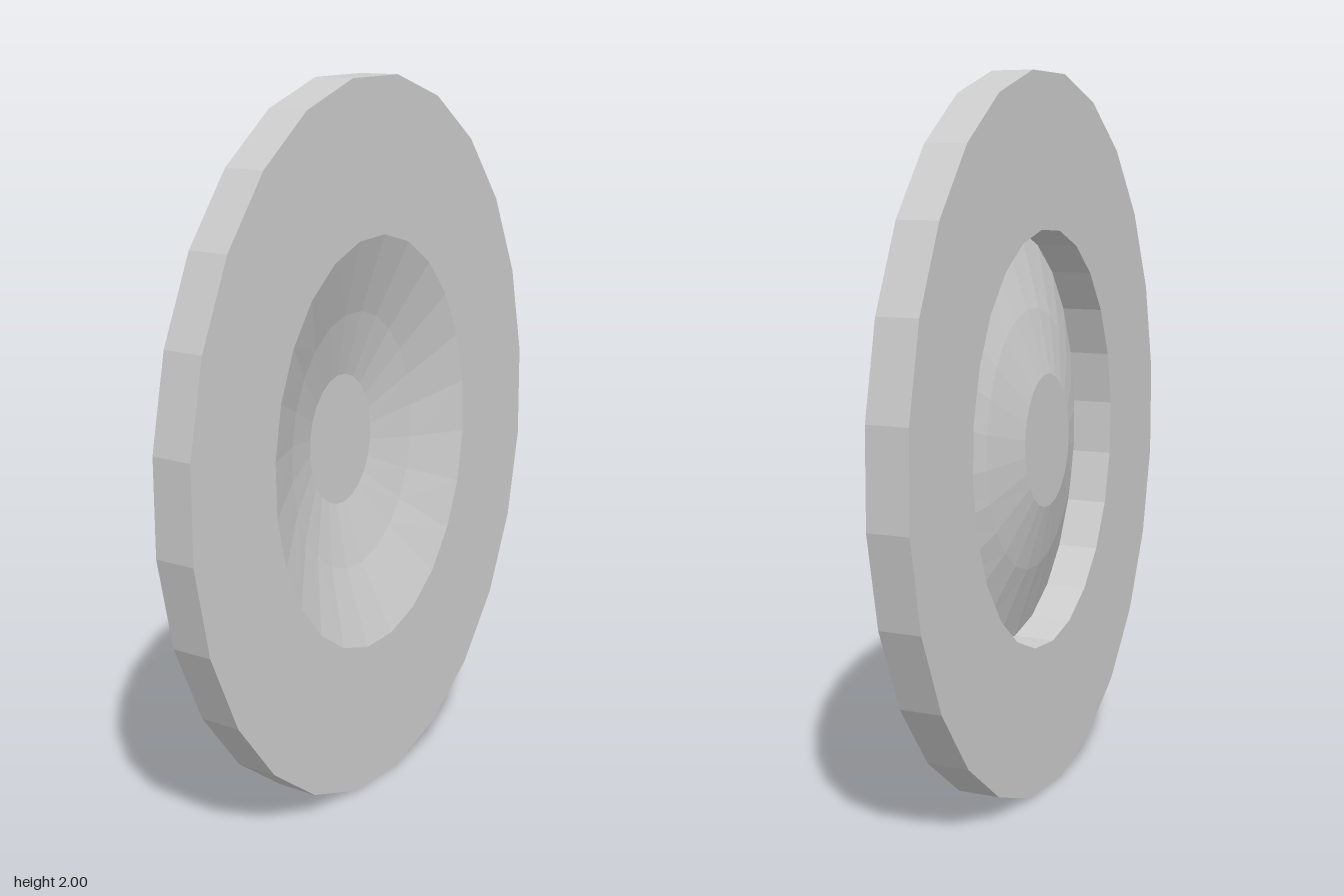
import * as THREE from 'three';

const SIDES = 24;
const HALF = 0.06; // half the thickness of the ring

// Point on an oval around the centre, clockwise from the top
function ovalPoint(rx, ry, i, offsetDeg) {
  const t = ((i % SIDES) / SIDES) * Math.PI * 2 + THREE.MathUtils.degToRad(offsetDeg);
  return [rx * Math.sin(t), 1 + ry * Math.cos(t)];
}

function ovalPoints(rx, ry, offsetDeg) {
  return Array.from({ length: SIDES }, (_, i) => new THREE.Vector2(...ovalPoint(rx, ry, i, offsetDeg)));
}

// Flat-shaded surface joining a series of ovals, outermost first
function loftOvals(ovals) {
  const positions = [];
  const corner = (o, i) => [...ovalPoint(o.rx, o.ry, i, o.turn), o.z];
  for (let k = 0; k < ovals.length - 1; k++) {
    const outer = ovals[k], inner = ovals[k + 1];
    for (let i = 0; i < SIDES; i++) {
      positions.push(...corner(outer, i + 1), ...corner(outer, i), ...corner(inner, i + 1));
      if (inner.rx > 0) {
        positions.push(...corner(outer, i), ...corner(inner, i), ...corner(inner, i + 1));
      }
    }
  }
  const geometry = new THREE.BufferGeometry();
  geometry.setAttribute('position', new THREE.Float32BufferAttribute(positions, 3));
  geometry.computeVertexNormals();
  return geometry;
}

export function createModel() {
  const group = new THREE.Group();
  group.name = 'ovalDish';

  // Thick oval ring; the opening runs the other way round so its wall faces inward
  const outline = new THREE.Shape(ovalPoints(0.79, 1.0075, 7));
  outline.holes.push(new THREE.Path(ovalPoints(0.455, 0.582, 5).reverse()));
  const ringGeometry = new THREE.ExtrudeGeometry(outline, { depth: 2 * HALF, bevelEnabled: false });
  ringGeometry.translate(0, 0, -HALF);
  const ring = new THREE.Mesh(
    ringGeometry,
    new THREE.MeshStandardMaterial({ color: 0xcccccc, flatShading: true })
  );
  ring.name = 'outerRing';
  group.add(ring);

  // Thin sunken dish, from the front edge of the opening down to a flat centre
  const dish = new THREE.Mesh(
    loftOvals([
      { rx: 0.455, ry: 0.582, z: HALF, turn: 5 },
      { rx: 0.286, ry: 0.366, z: -0.015, turn: 7 },
      { rx: 0.145, ry: 0.186, z: -HALF, turn: 9 },
      { rx: 0, ry: 0, z: -HALF, turn: 9 },
    ]),
    new THREE.MeshStandardMaterial({ color: 0xcccccc, flatShading: true, side: THREE.DoubleSide })
  );
  dish.name = 'sunkenDish';
  group.add(dish);

  return group;
}
